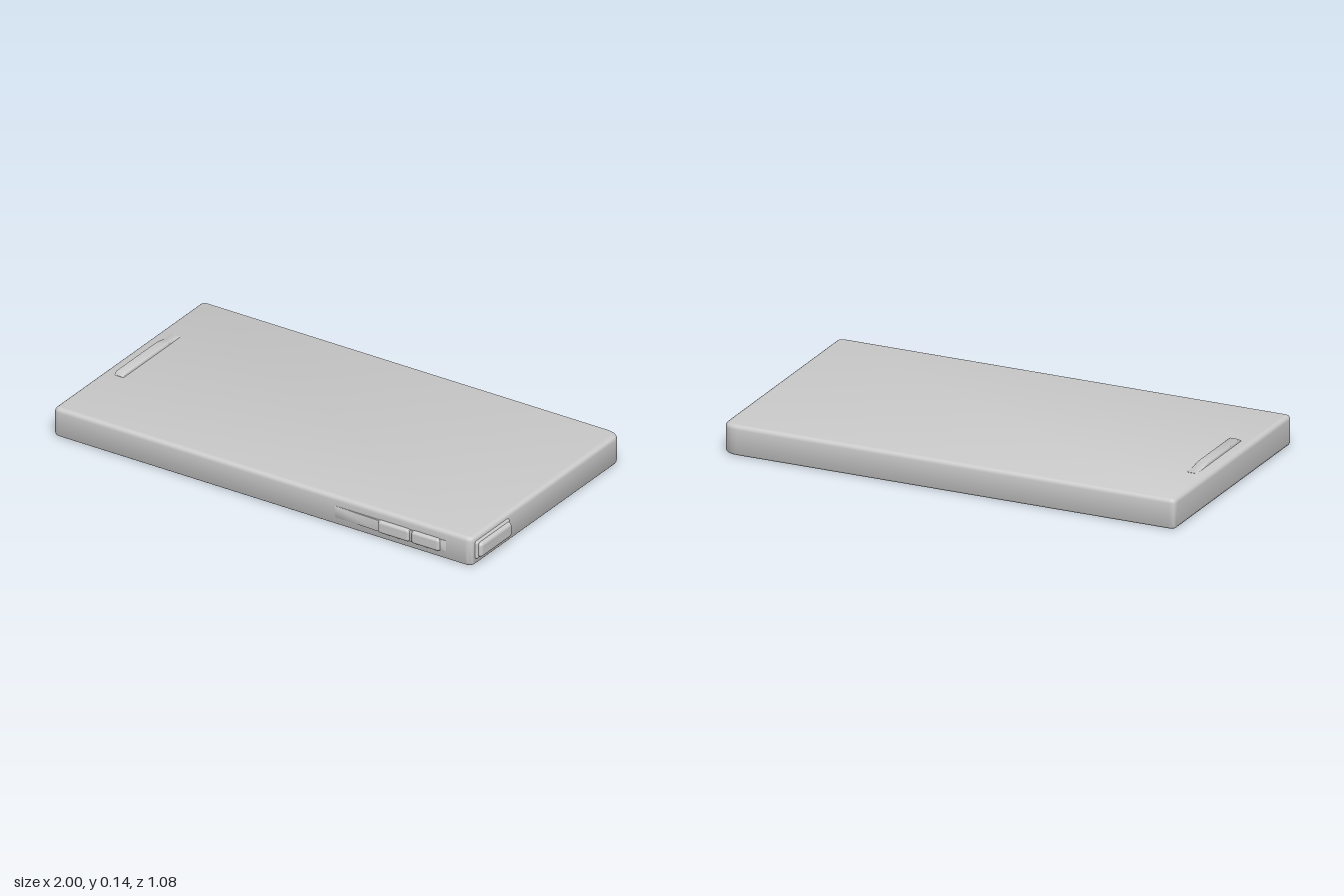
import * as THREE from 'three';
import { toCreasedNormals } from 'three/addons/utils/BufferGeometryUtils.js';
import { RoundedBoxGeometry } from 'three/addons/geometries/RoundedBoxGeometry.js';

const material = new THREE.MeshStandardMaterial({ color: 0xcccccc });

function addPart(group, name, geometry, x = 0, y = 0, z = 0) {
  const mesh = new THREE.Mesh(geometry, material);
  mesh.name = name;
  mesh.position.set(x, y, z);
  group.add(mesh);
}

// Solid with softened rims, extruded from an outline; its size includes the bevel
function softExtrude(shape, depth, bevel) {
  const geometry = new THREE.ExtrudeGeometry(shape, {
    depth: depth - 2 * bevel, bevelThickness: bevel, bevelSize: bevel,
    bevelOffset: -bevel, bevelSegments: 4, curveSegments: 8,
  });
  geometry.translate(0, 0, bevel);
  return toCreasedNormals(geometry, 0.7);
}

// Rectangle seen from above; each corner has its own extent of rounding [along x, along z]
function slabOutline(x0, x1, zBack, zFront, left, rightFront, rightBack) {
  const s = new THREE.Shape();
  const f = -zFront, b = -zBack;
  s.moveTo(x0 + left, f);
  s.lineTo(x1 - rightFront[0], f);
  s.quadraticCurveTo(x1, f, x1, f + rightFront[1]);
  s.lineTo(x1, b - rightBack[1]);
  s.quadraticCurveTo(x1, b, x1 - rightBack[0], b);
  s.lineTo(x0 + left, b);
  s.quadraticCurveTo(x0, b, x0, b - left);
  s.lineTo(x0, f + left);
  s.quadraticCurveTo(x0, f, x0 + left, f);
  return s;
}

export function createModel() {
  const group = new THREE.Group();
  group.name = 'phone';

  // Main slab, more rounded at its right end
  const outline = slabOutline(-1, 0.975, -0.543, 0.522, 0.025, [0.035, 0.03], [0.07, 0.05]);
  addPart(group, 'body', softExtrude(outline, 0.128, 0.018).rotateX(-Math.PI / 2));

  // Raised earpiece bar, fading into the face towards the back
  const bar = new THREE.Shape([
    [0.165, 0.115], [0.165, 0.129], [0.15, 0.14], [-0.13, 0.14],
    [-0.155, 0.137], [-0.19, 0.13], [-0.24, 0.129], [-0.24, 0.115],
  ].map(([z, y]) => new THREE.Vector2(z, y)));
  addPart(group, 'earpiece', softExtrude(bar, 0.045, 0.004).rotateY(-Math.PI / 2), -0.905);

  // Pair of buttons on the front edge
  for (const [name, x0, x1] of [['volumeDownButton', 0.54, 0.688], ['volumeUpButton', 0.697, 0.83]]) {
    addPart(group, name, new RoundedBoxGeometry(x1 - x0, 0.054, 0.04, 4, 0.012), (x0 + x1) / 2, 0.061, 0.518);
  }

  // Shallow ramp leading up to the buttons
  const ramp = new THREE.Shape([
    [0.33, -0.51], [0.86, -0.51], [0.86, -0.521], [0.82, -0.529], [0.53, -0.529], [0.33, -0.523],
  ].map(([x, y]) => new THREE.Vector2(x, y)).reverse());
  addPart(group, 'buttonRamp', softExtrude(ramp, 0.05, 0.002).rotateX(-Math.PI / 2), 0, 0.036);

  // Large button on the right end, on a slightly wider base
  addPart(group, 'powerButtonBase', new RoundedBoxGeometry(0.04, 0.08, 0.24, 4, 0.012), 0.965, 0.067, 0.378);
  addPart(group, 'powerButton', new RoundedBoxGeometry(0.06, 0.064, 0.222, 4, 0.015), 0.97, 0.067, 0.378);

  return group;
}
